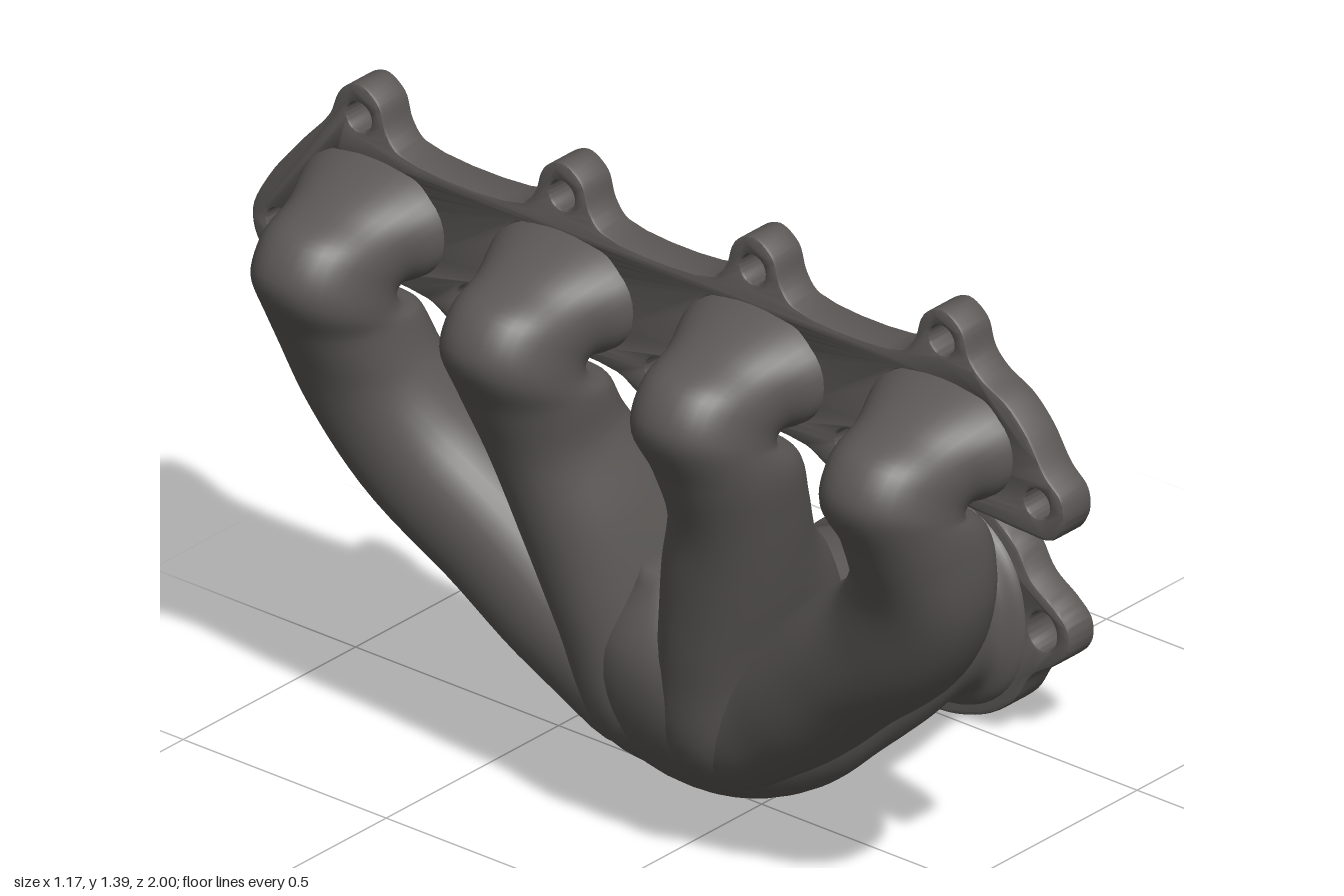
import * as THREE from 'three';
import { toCreasedNormals } from 'three/addons/utils/BufferGeometryUtils.js';

const castIron = new THREE.MeshStandardMaterial({ color: 0x5b5856, side: THREE.DoubleSide });
castIron.name = 'castIron';

// Sweep of oval rings. Each key: [innerX, innerY, outerX, outerY, z, halfWidth]
function loft(keys, { power = 2.2, endPower = power, capStart = false, sides = 36, side = 1 } = {}) {
  const curve = (f) => new THREE.CatmullRomCurve3(keys.map(f));
  const inner = curve((k) => new THREE.Vector3(k[0], k[1], k[4] * side));
  const outer = curve((k) => new THREE.Vector3(k[2], k[3], k[4] * side));
  const widths = new THREE.SplineCurve(keys.map((k, i) => new THREE.Vector2(i, k[5])));
  const steps = (keys.length - 1) * 6;
  const rings = [];
  for (let i = 0; i <= steps; i++) {
    const a = inner.getPoint(i / steps), b = outer.getPoint(i / steps);
    rings.push({
      c: a.clone().add(b).multiplyScalar(0.5),
      v: b.clone().sub(a).multiplyScalar(0.5),
      w: widths.getPoint(i / steps).y,
    });
  }
  const pos = [], index = [];
  const bend = (x, n) => Math.sign(x) * Math.abs(x) ** (2 / n);
  rings.forEach((r, i) => {
    const t = rings[Math.min(i + 1, steps)].c.clone().sub(rings[Math.max(i - 1, 0)].c);
    const across = t.cross(r.v).normalize().multiplyScalar(r.w);
    const n = THREE.MathUtils.lerp(power, endPower, i / steps);
    for (let j = 0; j < sides; j++) {
      const q = (j / sides) * Math.PI * 2;
      const p = r.c.clone().addScaledVector(r.v, bend(Math.cos(q), n)).addScaledVector(across, bend(Math.sin(q), n));
      pos.push(p.x, p.y, p.z);
      if (i < steps) {
        const k = (j + 1) % sides, A = i * sides, B = A + sides;
        index.push(A + j, A + k, B + k, A + j, B + k, B + j);
      }
    }
  });
  if (capStart) {
    pos.push(...rings[0].c.toArray());
    for (let j = 0; j < sides; j++) index.push(pos.length / 3 - 1, (j + 1) % sides, j);
  }
  const g = new THREE.BufferGeometry();
  g.setAttribute('position', new THREE.Float32BufferAttribute(pos, 3));
  g.setIndex(index);
  g.computeVertexNormals();
  return g;
}

// Smooth closed outline through [z, y] points
function outline(points) {
  const c = new THREE.CatmullRomCurve3(points.map(([z, y]) => new THREE.Vector3(-z, y, 0)), true);
  return c.getPoints(points.length * 5).slice(0, -1).map((p) => new THREE.Vector2(p.x, p.y));
}

const ellipse = (z, y, rz, ry = rz) =>
  new THREE.Path().absellipse(-z, y, rz, ry, 0, Math.PI * 2, false);

// Rounded rectangular port opening
function portHole(z, y, w, h, r) {
  const p = new THREE.Path(), x = -z;
  [[w - r, h - r, 0], [r - w, h - r, 1], [r - w, r - h, 2], [w - r, r - h, 3]].forEach(([dx, dy, q]) =>
    p.absarc(x + dx, y + dy, r, (q * Math.PI) / 2, ((q + 1) * Math.PI) / 2, false));
  return p;
}

// Plate lying in the z-y plane from x0 to x1
function plate(points, holes, x0, x1) {
  const shape = new THREE.Shape(outline(points));
  shape.holes.push(...holes);
  const b = 0.008;
  const g = new THREE.ExtrudeGeometry(shape, {
    depth: x1 - x0 - 2 * b, bevelThickness: b, bevelSize: b, bevelOffset: -b, bevelSegments: 2, curveSegments: 20,
  });
  g.rotateY(Math.PI / 2).translate(x0 + b, 0, 0);
  return toCreasedNormals(g, 0.6);
}

export function createModel() {
  const group = new THREE.Group();
  group.name = 'exhaustManifold';
  const add = (name, geometry) => {
    const m = new THREE.Mesh(geometry, castIron);
    m.name = name;
    group.add(m);
  };

  // Port flange with bolt ears
  const topEar = (z) => [[0.1, 1.282], [0.068, 1.315], [0.048, 1.37], [0, 1.398], [-0.048, 1.37], [-0.068, 1.315], [-0.1, 1.282]]
    .map(([d, y]) => [z + d, y]);
  const lowEar = (z) => [[-0.1, 1.0], [-0.05, 0.975], [0, 0.962], [0.05, 0.975], [0.1, 1.0]].map(([d, y]) => [z + d, y]);
  const flangeEdge = [
    [0.995, 1.09], [0.955, 1.13], [0.91, 1.2], [0.86, 1.25],
    ...topEar(0.7), ...topEar(0.235), ...topEar(-0.235), ...topEar(-0.735).slice(0, 5),
    [-0.81, 1.31], [-0.88, 1.23], [-0.96, 1.13], [-0.998, 1.05], [-0.98, 0.985], [-0.93, 0.968], [-0.87, 1.0],
    ...lowEar(-0.465), ...lowEar(0), ...lowEar(0.465),
    [0.8, 1.0], [0.9, 0.995], [0.97, 0.998], [0.999, 1.04],
  ];
  const bolts = [[0.7, 1.333], [0.235, 1.328], [-0.235, 1.328], [-0.735, 1.328],
    [0.935, 1.066], [0.468, 1.037], [0, 1.032], [-0.462, 1.032], [-0.932, 1.04]];
  const ports = [0.7, 0.235, -0.235, -0.7];
  add('portFlange', plate(flangeEdge, [
    ...bolts.map(([z, y]) => ellipse(z, y, 0.03)),
    ...ports.map((z) => portHole(z, 1.145, 0.142, 0.097, 0.06)),
  ], -0.305, -0.22));

  // Elbow shared by all runners, from the flange turning downwards
  const elbow = (z) => [
    [-0.28, 1.02, -0.28, 1.262, z, 0.185], [-0.31, 1.015, -0.34, 1.245, z, 0.168],
    [-0.315, 1.01, -0.44, 1.21, z, 0.138], [-0.31, 1.0, -0.545, 1.17, z, 0.128],
    [-0.3, 0.99, -0.588, 1.085, z, 0.128], [-0.235, 0.955, -0.53, 0.96, z, 0.13],
  ];
  const innerRunner = [...elbow(0.235),
    [-0.19, 0.87, -0.47, 0.82, 0.222, 0.12], [-0.12, 0.75, -0.43, 0.65, 0.178, 0.128],
    [-0.01, 0.63, -0.388, 0.45, 0.13, 0.13], [0.065, 0.51, -0.33, 0.25, 0.09, 0.14],
    [0.09, 0.48, -0.15, 0.11, 0.06, 0.16], [0.12, 0.45, 0.05, 0.09, 0.04, 0.16]];
  const outerRunner = [...elbow(0.7),
    [-0.19, 0.83, -0.465, 0.82, 0.675, 0.138], [-0.125, 0.68, -0.425, 0.68, 0.585, 0.14],
    [-0.07, 0.545, -0.385, 0.535, 0.42, 0.14], [-0.02, 0.42, -0.345, 0.37, 0.25, 0.14],
    [0.06, 0.41, -0.28, 0.21, 0.1, 0.14], [0.1, 0.41, 0, 0.12, 0.03, 0.14]];
  const bore = (z) => [
    [-0.224, 1.05, -0.224, 1.24, z, 0.14], [-0.3, 1.05, -0.31, 1.235, z, 0.138],
    [-0.335, 1.035, -0.42, 1.19, z, 0.118], [-0.34, 1, -0.53, 1.1, z, 0.1],
    [-0.31, 0.95, -0.5, 0.97, z, 0.1], [-0.25, 0.86, -0.43, 0.82, z, 0.09]];
  for (const side of [1, -1]) {
    const s = side > 0 ? 'left' : 'right';
    add(s + 'InnerRunner', loft(innerRunner, { side }));
    add(s + 'OuterRunner', loft(outerRunner, { side }));
    add(s + 'InnerPortBore', loft(bore(0.235), { power: 4, endPower: 2, side }));
    add(s + 'OuterPortBore', loft(bore(0.7), { power: 4, endPower: 2, side }));
  }

  // Collector where the runners merge, bending towards the outlet
  add('collector', loft([
    [-0.1, 0.66, -0.32, 0.62, 0, 0.06], [0.0, 0.6, -0.385, 0.45, 0, 0.18],
    [0.055, 0.535, -0.335, 0.26, 0, 0.245], [0.075, 0.515, -0.2, 0.12, 0, 0.26],
    [0.1, 0.505, -0.03, 0.06, 0, 0.255], [0.16, 0.494, 0.14, 0.06, 0, 0.235],
    [0.3, 0.46, 0.3, 0.066, 0, 0.212], [0.42, 0.436, 0.42, 0.075, 0, 0.188],
    [0.47, 0.443, 0.47, 0.065, 0, 0.188], [0.5, 0.468, 0.5, 0.035, 0, 0.215], [0.53, 0.48, 0.53, 0.025, 0, 0.22],
  ], { capStart: true, sides: 48 }));

  // Outlet flange with two bolt ears
  const quarter = [[0.11, 0.222], [0.19, 0.165], [0.232, 0.1], [0.285, 0.062], [0.318, 0.03]];
  const half = [...quarter, [0.325, 0], ...quarter.map(([z, y]) => [z, -y]).reverse()];
  const outletEdge = [[0, 0.247], ...half, [0, -0.247], ...half.map(([z, y]) => [-z, -y])]
    .map(([z, y]) => [z, y + 0.252]).reverse();
  add('outletFlange', plate(outletEdge, [
    ellipse(0, 0.255, 0.168, 0.175), ellipse(0.258, 0.255, 0.034, 0.04), ellipse(-0.258, 0.255, 0.034, 0.04),
  ], 0.508, 0.585));

  // Stepped outlet bore
  const boreProfile = [[0, 0.02], [0.09, 0.04], [0.12, 0.1], [0.125, 0.3], [0.148, 0.34], [0.15, 0.46], [0.168, 0.48], [0.168, 0.578]];
  const outletBore = new THREE.LatheGeometry(boreProfile.map(([r, x]) => new THREE.Vector2(r, x)), 40);
  outletBore.rotateZ(-Math.PI / 2).translate(0, 0.255, 0);
  add('outletBore', toCreasedNormals(outletBore, 0.6));

  return group;
}
